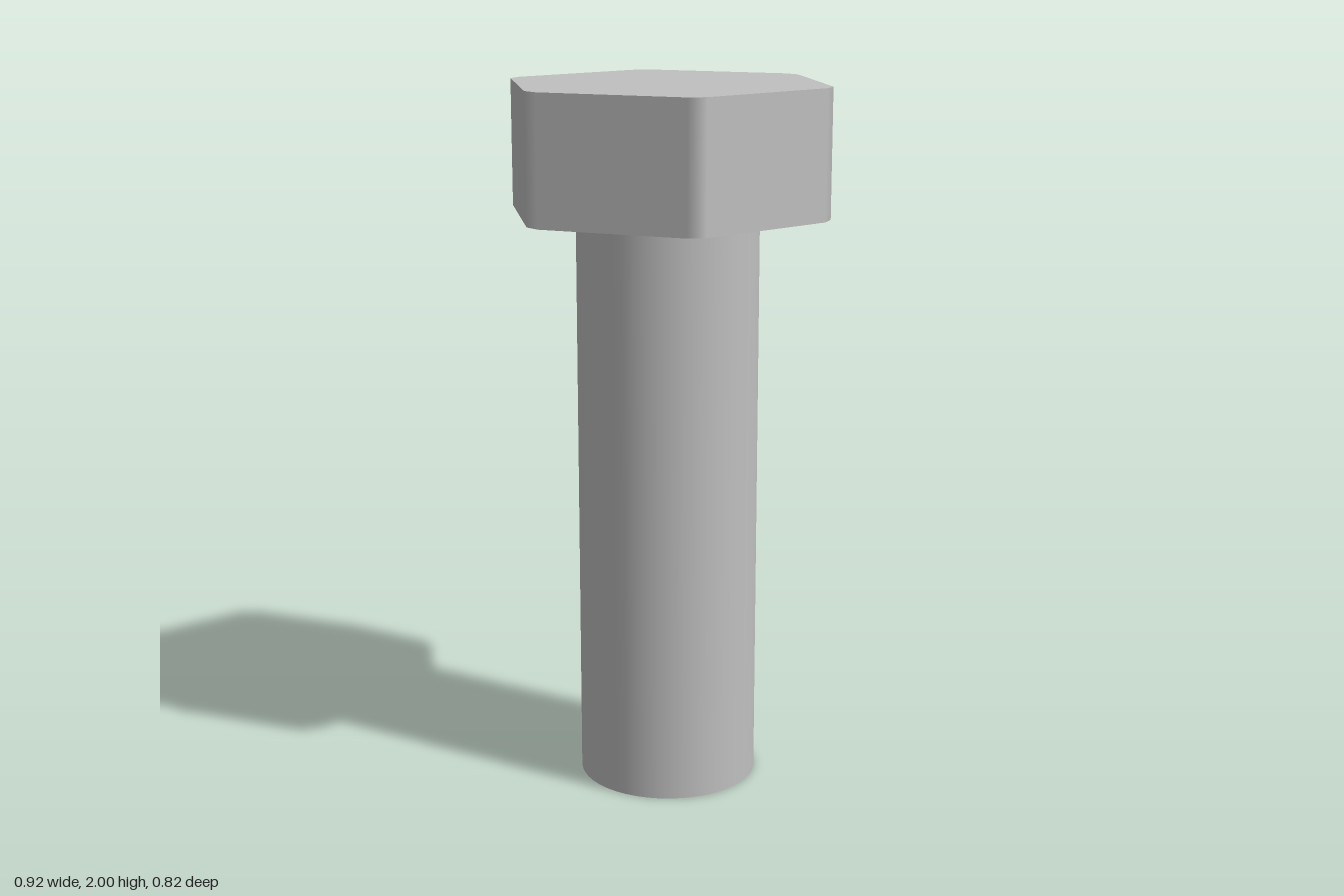
import * as THREE from 'three';

const HEAD_BOTTOM = 1.645;
const TOP = 2;
const SHAFT_RADIUS = 0.255;
const FLAT_DISTANCE = 0.411; // centre of the head to each flat
const CORNER_RADIUS = 0.461; // centre of the head to each trimmed corner

// Hexagon with every corner trimmed to a short facet
function headShape() {
  const halfFlat = Math.acos(FLAT_DISTANCE / CORNER_RADIUS);
  const points = [];
  for (let i = 0; i < 6; i++) {
    const flat = Math.PI / 6 + (i * Math.PI) / 3;
    for (const side of [-1, 1]) {
      const a = flat + side * halfFlat;
      points.push(new THREE.Vector2(Math.cos(a) * CORNER_RADIUS, Math.sin(a) * CORNER_RADIUS));
    }
  }
  return new THREE.Shape(points);
}

// Upright head; side normals follow the nearest flat so the corners shade softly
function headGeometry() {
  const geometry = new THREE.ExtrudeGeometry(headShape(), { depth: TOP - HEAD_BOTTOM, bevelEnabled: false });
  geometry.rotateX(-Math.PI / 2);
  const position = geometry.attributes.position;
  const normal = geometry.attributes.normal;
  const step = Math.PI / 3;
  for (let i = 0; i < position.count; i++) {
    if (Math.abs(normal.getY(i)) > 0.5) continue;
    const angle = Math.atan2(position.getZ(i), position.getX(i));
    const flat = Math.floor(angle / step) * step + step / 2;
    normal.setXYZ(i, Math.cos(flat), 0, Math.sin(flat));
  }
  return geometry;
}

export function createModel() {
  const model = new THREE.Group();
  model.name = 'hexBolt';
  const steel = new THREE.MeshStandardMaterial({ color: 0xc0c0c0 });
  steel.name = 'steel';

  // Hexagonal head
  const head = new THREE.Mesh(headGeometry(), steel);
  head.name = 'head';
  head.position.y = HEAD_BOTTOM;
  model.add(head);

  // Smooth round shaft
  const shaft = new THREE.Mesh(
    new THREE.CylinderGeometry(SHAFT_RADIUS, SHAFT_RADIUS, HEAD_BOTTOM, 48),
    steel
  );
  shaft.name = 'shaft';
  shaft.position.y = HEAD_BOTTOM / 2;
  model.add(shaft);

  return model;
}
